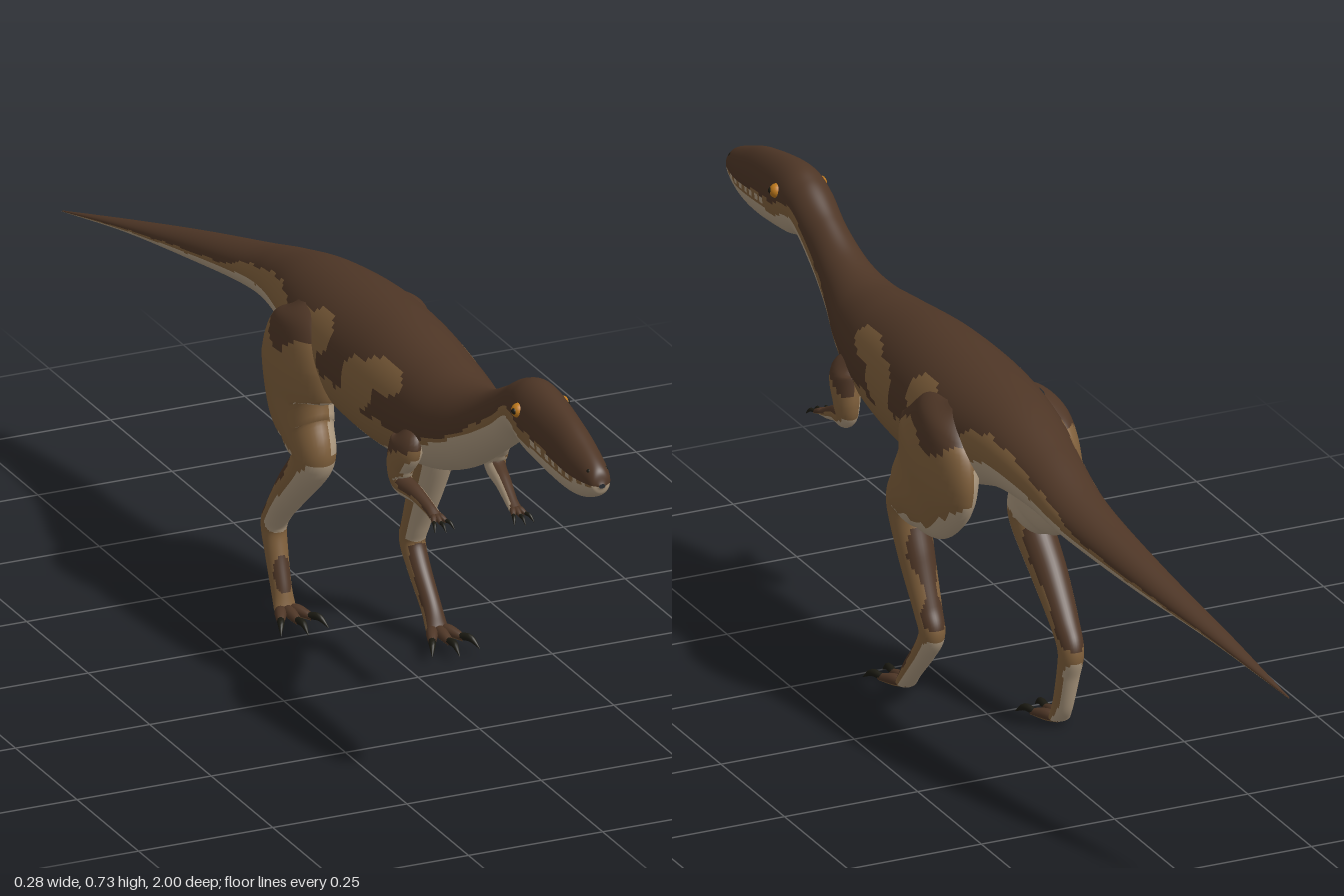
import * as THREE from 'three';

const mat = (name, color) => Object.assign(new THREE.MeshStandardMaterial({ color }), { name });
const dark = mat('darkBrown', 0x4e3626), tan = mat('tanBrown', 0x80603c), cream = mat('cream', 0xb09c82);
const black = mat('clawBlack', 0x1b1a12), orange = mat('eyeOrange', 0xc07a1c);
const skin = [dark, tan, cream];
const DARK = 0, TAN = 1, CREAM = 2;

// Smooth skin through elliptical sections [x, y, z, halfWidth, halfDepth].
// paint(point, normal, t) picks a colour per patch; t is 0 underneath, 1 on top.
function loft(name, sections, steps, sides, paint, materials = skin, upright = false) {
  const centres = new THREE.CatmullRomCurve3(sections.map(s => new THREE.Vector3(s[0], s[1], s[2])), false, 'catmullrom');
  const radii = new THREE.CatmullRomCurve3(sections.map(s => new THREE.Vector3(s[3], s[4], 0)), false, 'catmullrom');
  const side = new THREE.Vector3(1, 0, 0), pts = [];
  for (let i = 0; i <= steps; i++) {
    const c = centres.getPoint(i / steps), r = radii.getPoint(i / steps);
    const along = upright ? new THREE.Vector3(0, 0, -1) : centres.getTangent(i / steps).setX(0).normalize();
    const up = side.clone().cross(along);
    for (let j = 0; j < sides; j++) {
      const a = j / sides * Math.PI * 2;
      pts.push(c.clone().addScaledVector(side, Math.max(r.x, 0.0005) * Math.cos(a))
        .addScaledVector(up, Math.max(r.y, 0.0005) * Math.sin(a)));
    }
  }
  const buckets = materials.map(() => []);
  for (let i = 0; i < steps; i++) for (let j = 0; j < sides; j++) {
    const k = (j + 1) % sides;
    const a = i * sides + j, b = i * sides + k, c = a + sides, d = b + sides;
    const mid = pts[a].clone().add(pts[d]).multiplyScalar(0.5);
    const n = pts[d].clone().sub(pts[a]).cross(pts[b].clone().sub(pts[c])).normalize();
    const t = (Math.sin((j + 0.5) / sides * Math.PI * 2) + 1) / 2;
    buckets[paint ? paint(mid, n, t) : 0].push(a, c, b, b, c, d);
  }
  const g = new THREE.BufferGeometry().setFromPoints(pts);
  g.setIndex(buckets.flat());
  let start = 0;
  buckets.forEach((b, m) => { if (b.length) g.addGroup(start, b.length, m); start += b.length; });
  g.computeVertexNormals();
  const mesh = new THREE.Mesh(g, materials);
  mesh.name = name;
  return mesh;
}

// Linear lookup in rows [z, creamLimit, tanLimit], z descending
const bands = [[1, .36, .42], [.75, .3, .5], [.68, .42, .58], [.5, .4, .46], [.38, .27, .33], [.3, .14, .38],
  [.1, .12, .45], [-.08, .3, .6], [-.15, .45, .78], [-.36, .45, .72], [-.46, .42, .52], [-1, .35, .48]];
function limits(z) {
  const i = Math.max(1, bands.findIndex(b => b[0] <= z));
  const [p, q] = [bands[i - 1], bands[i]], f = (p[0] - z) / (p[0] - q[0]);
  return [1, 2].map(k => p[k] + (q[k] - p[k]) * f);
}

// Tan blotches on the flanks: [z, y, radiusZ, radiusY]
const blotches = [[.29, .585, .06, .028], [.22, .55, .055, .045], [.06, .585, .045, .035], [.0, .55, .07, .05]];
function paintBody(p, n, t) {
  const [c, b] = limits(p.z);
  const wave = .02 * Math.sin(p.z * 47) + .012 * Math.sin(p.z * 113 + 1);
  if (p.z > .8 && t > .36 && t < .46) return Math.sin(p.z * 260) > .2 ? CREAM : TAN;
  if (t < c + wave * .5) return CREAM;
  if (t < b + wave) return TAN;
  const spot = blotches.some(s => ((p.z - s[0]) / s[2]) ** 2 + ((p.y - s[1]) / s[3]) ** 2 < 1);
  return spot && t < .9 ? TAN : DARK;
}

// Limbs are pale below and inside, dark on top
function paintLimb(p, n) {
  const outward = n.x * Math.sign(p.x);
  if (p.y > .36) {
    if (n.y < -.35 || outward < -.5) return CREAM;
    return p.y > .54 + .02 * Math.sin(p.z * 40) ? DARK : TAN;
  }
  if (n.y < -.22) return CREAM;
  return n.y < .22 + .08 * Math.sin(p.y * 60) ? TAN : DARK;
}
const paintArm = (p, n) => n.y < -.35 || n.x * Math.sign(p.x) < -.6 ? CREAM : n.y < .1 ? TAN : DARK;

// A toe or finger with a curved claw, pointing along +z
function digit(name, length, r, claw) {
  const g = new THREE.Group();
  g.name = name;
  g.add(loft(name + 'Flesh', [[0, 0, -r, r * .5, r * .5], [0, r * .3, length * .25, r, r], [0, r * .2, length * .7, r * .8, r * .8],
    [0, 0, length, r * .5, r * .5]], 10, 12, (p, n) => n.y < -.3 ? TAN : DARK));
  g.add(loft(name + 'Claw', [[0, r * .2, length * .85, r * .6, r * .6], [0, r * .5, length + claw * .4, r * .55, r * .6],
    [0, -r * .7, length + claw, .0005, .0005]], 8, 10, null, [black]));
  return g;
}
function digits(parent, name, x, y, z, length, r, claw, spread, pitch) {
  for (const k of [-1, 0, 1]) {
    const d = digit(name, length * (k ? .88 : 1), r, claw);
    d.rotation.set(pitch, k * spread, 0, 'YXZ');
    d.position.set(x + k * r * .8, y, z);
    parent.add(d);
  }
}

export function createModel() {
  const model = new THREE.Group();
  model.name = 'theropod';

  // Head, neck, torso and tail in one skin
  model.add(loft('body', [
    [0, .637, .998, .006, .004], [0, .641, .985, .021, .026], [0, .643, .93, .032, .049], [0, .652, .86, .038, .063],
    [0, .667, .75, .046, .066], [0, .667, .69, .042, .053], [0, .623, .62, .04, .057], [0, .578, .54, .05, .064],
    [0, .547, .46, .07, .08], [0, .533, .36, .09, .102], [0, .531, .2, .105, .121], [0, .537, .03, .108, .112],
    [0, .55, -.13, .085, .08], [.005, .538, -.27, .062, .056], [.005, .515, -.4, .05, .04], [-.02, .48, -.6, .034, .026],
    [-.055, .445, -.8, .018, .011], [-.09, .403, -1, .001, .001]], 272, 72, paintBody, skin, true));

  // Left leg steps forward
  model.add(loft('leftLeg', [
    [.075, .6, -.03, .01, .02], [.085, .57, -.02, .038, .08], [.09, .5, 0, .047, .125], [.09, .44, .035, .045, .11],
    [.095, .4, .085, .04, .068], [.095, .365, .113, .036, .042], [.094, .28, .08, .031, .033], [.091, .2, .045, .025, .025],
    [.09, .16, .03, .022, .026], [.09, .12, .055, .02, .022], [.09, .065, .105, .018, .019], [.09, .032, .13, .02, .013]],
  110, 36, paintLimb));
  digits(model, 'leftToe', .09, .03, .128, .06, .0105, .036, .42, .06);

  // Right leg pushes back
  model.add(loft('rightLeg', [
    [-.075, .6, -.04, .01, .02], [-.085, .57, -.035, .038, .08], [-.09, .5, -.03, .047, .12], [-.09, .43, -.025, .046, .11],
    [-.093, .385, .005, .042, .07], [-.095, .34, .03, .036, .043], [-.096, .26, -.045, .031, .033], [-.094, .195, -.108, .025, .025],
    [-.092, .157, -.135, .022, .026], [-.092, .11, -.125, .02, .021], [-.092, .05, -.105, .018, .019], [-.092, .018, -.09, .02, .012]],
  110, 36, paintLimb));
  digits(model, 'rightToe', -.092, .016, -.09, .06, .0105, .036, .42, .04);

  for (const s of [1, -1]) {
    const side = s > 0 ? 'left' : 'right', lift = s > 0 ? 0 : .012;
    // Short arm with three clawed fingers
    model.add(loft(side + 'Arm', [
      [s * .07, .53, .38, .01, .015], [s * .082, .5, .385, .024, .04], [s * .088, .455, .37, .022, .03],
      [s * .087, .425, .375, .018, .021], [s * .081, .412 + lift / 2, .42, .014, .015], [s * .076, .395 + lift, .462, .011, .011],
      [s * .074, .388 + lift, .485, .012, .007]], 50, 20, paintArm));
    digits(model, side + 'Finger', s * .074, .389 + lift, .482, .026, .0055, .02, .35, .25);

    // Eye with pupil, and nostril
    const ball = (name, r, m, x, y, z) => {
      const e = new THREE.Mesh(new THREE.SphereGeometry(r, 16, 12), m);
      e.name = name;
      e.position.set(s * x, y, z);
      model.add(e);
    };
    ball(side + 'Eye', .013, orange, .04, .688, .745);
    ball(side + 'Pupil', .006, black, .0485, .689, .748);
    ball(side + 'Nostril', .005, black, .0145, .659, .977);
  }
  return model;
}
